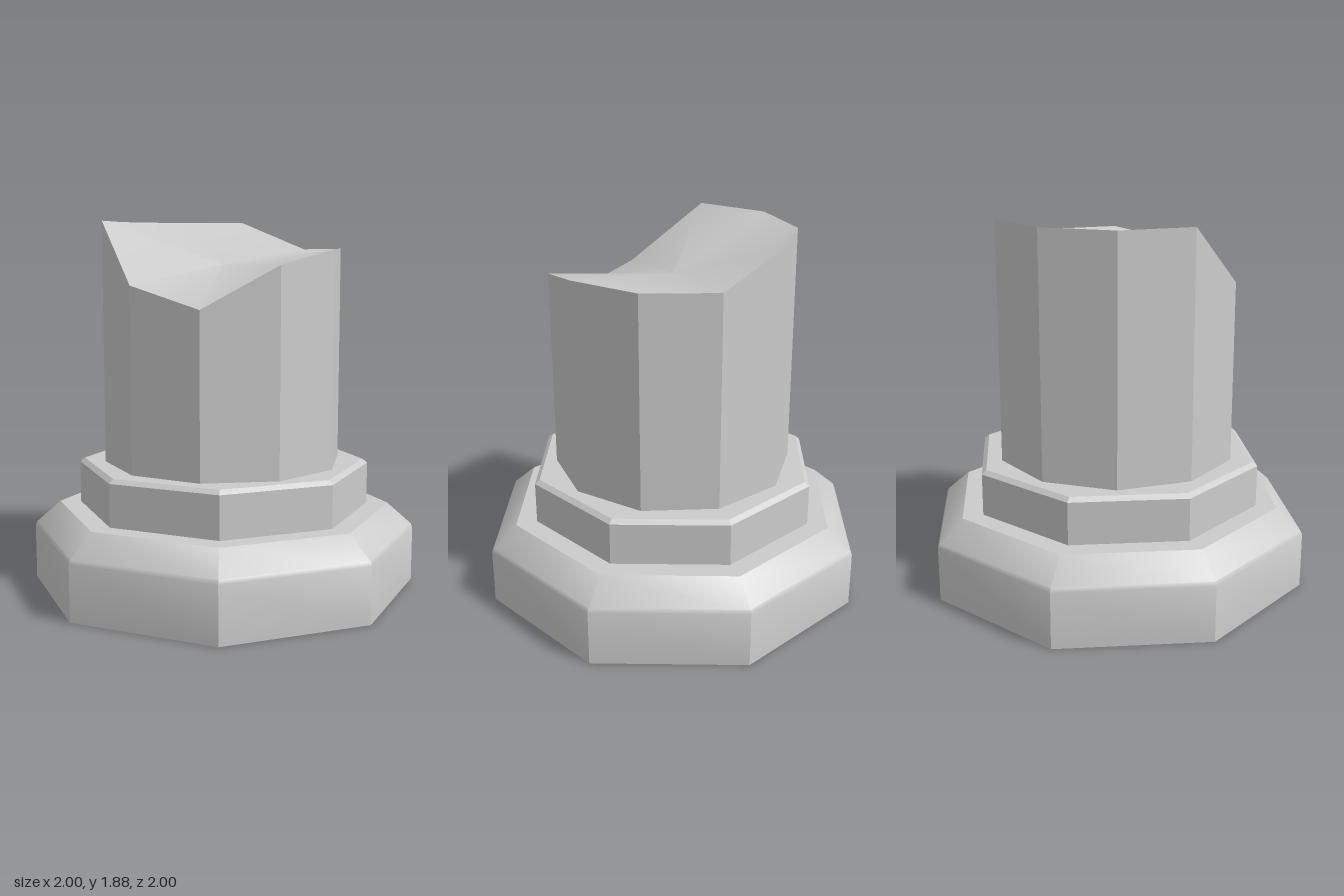
import * as THREE from 'three';
import { toCreasedNormals } from 'three/addons/utils/BufferGeometryUtils.js';

const CREASE = THREE.MathUtils.degToRad(40);
const RADIUS = 0.615;
const SIDES = 10;
const COLUMN_BASE = 0.65;
// Height of the broken rim at each column corner, turning from +z towards +x
const RIM = [1.74, 1.74, 1.735, 1.88, 1.88, 1.88, 1.88, 1.57, 1.465, 1.67];
const CORE = 1.66;
const STEP = (Math.PI * 2) / SIDES;

function addMesh(group, name, geometry, flatShading = false) {
  const material = new THREE.MeshStandardMaterial({ color: 0xcccccc, flatShading });
  const mesh = new THREE.Mesh(geometry, material);
  mesh.name = name;
  group.add(mesh);
}

// Octagonal block turned from a [radius, height] profile
function octagon(profile) {
  const points = profile.map(([r, y]) => new THREE.Vector2(r, y));
  return new THREE.LatheGeometry(points, 8);
}

function rimHeight(x, z) {
  const corner = Math.round((Math.atan2(x, z) - STEP / 2) / STEP);
  return RIM[(corner + SIDES) % SIDES];
}

export function createModel() {
  const group = new THREE.Group();
  group.name = 'brokenColumn';

  // Wide plinth with a softened bevel
  const plinth = octagon([[0, 0], [1, 0], [1, 0.285], [0.99, 0.305], [0.865, 0.415], [0, 0.415]]);
  addMesh(group, 'plinth', toCreasedNormals(plinth, CREASE));

  // Narrower upper step with a thin chamfer
  const step = octagon([[0, 0.415], [0.755, 0.415], [0.755, 0.63], [0.73, COLUMN_BASE], [0, COLUMN_BASE]]);
  addMesh(group, 'upperStep', step, true);

  // Ten-sided shaft whose top ring follows the broken rim
  const shaft = new THREE.CylinderGeometry(RADIUS, RADIUS, 1, SIDES, 1, true, STEP / 2);
  const p = shaft.attributes.position;
  for (let i = 0; i < p.count; i++) {
    p.setY(i, p.getY(i) > 0 ? rimHeight(p.getX(i), p.getZ(i)) : COLUMN_BASE);
  }
  addMesh(group, 'shaft', shaft, true);

  // Broken top: a fan from the core to the rim
  const top = new THREE.CircleGeometry(RADIUS, SIDES, STEP / 2 - Math.PI / 2);
  top.rotateX(-Math.PI / 2);
  const t = top.attributes.position;
  t.setY(0, CORE);
  for (let i = 1; i < t.count; i++) t.setY(i, rimHeight(t.getX(i), t.getZ(i)));
  addMesh(group, 'brokenTop', toCreasedNormals(top, CREASE));

  return group;
}
